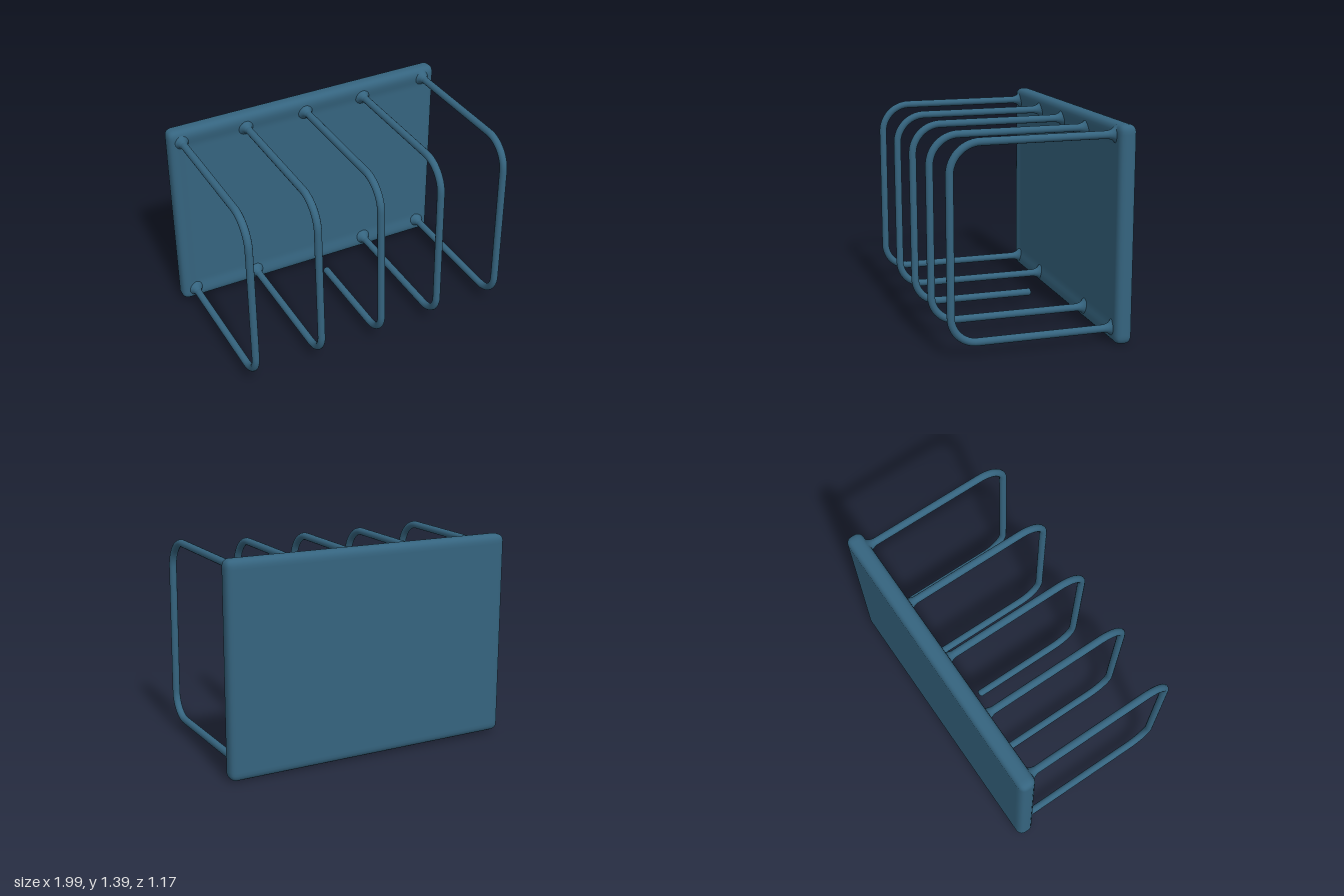
import * as THREE from 'three';
import { mergeVertices } from 'three/addons/utils/BufferGeometryUtils.js';

const material = new THREE.MeshStandardMaterial({ color: 0x35647f });
const V = (x, y, z) => new THREE.Vector3(x, y, z);
const BACK = -0.5; // where the rods sink into the panel

// Rounded slab, slightly taller towards +x, with a shallow dished front
function panelGeometry() {
  const half = V(0.993, 0.693, 0.058), r = 0.045;
  const inner = half.clone().subScalar(r);
  let geo = new THREE.BoxGeometry(half.x * 2, half.y * 2, half.z * 2, 96, 68, 8);
  geo.deleteAttribute('uv');
  geo.deleteAttribute('normal');
  geo = mergeVertices(geo);
  const pos = geo.attributes.position;
  const p = V(0, 0, 0), core = V(0, 0, 0);
  for (let i = 0; i < pos.count; i++) {
    p.fromBufferAttribute(pos, i);
    core.copy(p).clamp(inner.clone().negate(), inner);
    p.sub(core).setLength(r).add(core);
    const dish = THREE.MathUtils.smoothstep(half.y - Math.abs(p.y), 0.05, 0.14)
      * THREE.MathUtils.smoothstep(half.x - Math.abs(p.x), 0.04, 0.12);
    if (p.z > 0) p.z -= 0.012 * dish;
    p.y *= 0.99 + 0.01 * p.x;
    pos.setXYZ(i, p.x, p.y + 0.695, p.z - 0.53);
  }
  geo.computeVertexNormals();
  return geo;
}

// One rod bent into a U: out along the top, down the front, back along the bottom
function rodPath({ xTop, xBottom, yTop, yBottom, end }) {
  const front = 0.562, rt = 0.19, rb = 0.165, k = 0.45;
  const path = new THREE.CurvePath();
  const xAt = y => THREE.MathUtils.lerp(xBottom, xTop, (y - yBottom) / (yTop - yBottom));
  const P = (y, z) => V(xAt(y), y, z);
  path.add(new THREE.LineCurve3(P(yTop, BACK), P(yTop, front - rt)));
  path.add(new THREE.CubicBezierCurve3(P(yTop, front - rt), P(yTop, front - rt * k),
    P(yTop - rt * k, front), P(yTop - rt, front)));
  path.add(new THREE.LineCurve3(P(yTop - rt, front), P(yBottom + rb, front)));
  path.add(new THREE.CubicBezierCurve3(P(yBottom + rb, front), P(yBottom + rb * k, front),
    P(yBottom, front - rb * k), P(yBottom, front - rb)));
  path.add(new THREE.LineCurve3(P(yBottom, front - rb), P(yBottom, end)));
  return path;
}

// Flared collar blending a rod into the panel
const collarGeometry = new THREE.LatheGeometry(
  [[0.06, 0], [0.048, 0.012], [0.036, 0.025], [0.029, 0.042], [0.023, 0.065]]
    .map(([r, h]) => new THREE.Vector2(r, h)), 20);
collarGeometry.rotateX(Math.PI / 2);

const rods = [
  { name: 'rightOuterRod', xTop: -0.91, xBottom: -0.9, yTop: 1.295, yBottom: 0.093, end: BACK },
  { name: 'rightInnerRod', xTop: -0.455, xBottom: -0.432, yTop: 1.285, yBottom: 0.087, end: BACK },
  { name: 'middleRod', xTop: -0.017, xBottom: 0.012, yTop: 1.287, yBottom: 0.09, end: -0.24 },
  { name: 'leftInnerRod', xTop: 0.42, xBottom: 0.437, yTop: 1.29, yBottom: 0.09, end: BACK },
  { name: 'leftOuterRod', xTop: 0.892, xBottom: 0.902, yTop: 1.32, yBottom: 0.095, end: BACK },
];

export function createModel() {
  const model = new THREE.Group();
  model.name = 'panelWithRods';
  const add = (parent, geometry, name) => {
    const mesh = new THREE.Mesh(geometry, material);
    mesh.name = name;
    parent.add(mesh);
    return mesh;
  };

  add(model, panelGeometry(), 'backPanel');

  for (const rod of rods) {
    const group = new THREE.Group();
    group.name = rod.name;
    model.add(group);
    add(group, new THREE.TubeGeometry(rodPath(rod), 140, 0.025, 14), 'bentRod');
    add(group, collarGeometry, 'topCollar').position.set(rod.xTop, rod.yTop, -0.487);
    if (rod.end === BACK) {
      add(group, collarGeometry, 'bottomCollar').position.set(rod.xBottom, rod.yBottom, -0.487);
    } else {
      // Free end of the rod that stops short of the panel
      const tip = add(group, new THREE.SphereGeometry(0.025, 14, 10), 'rodTip');
      tip.position.set(rod.xBottom, rod.yBottom, rod.end);
      tip.scale.z = 0.6;
    }
  }
  return model;
}
